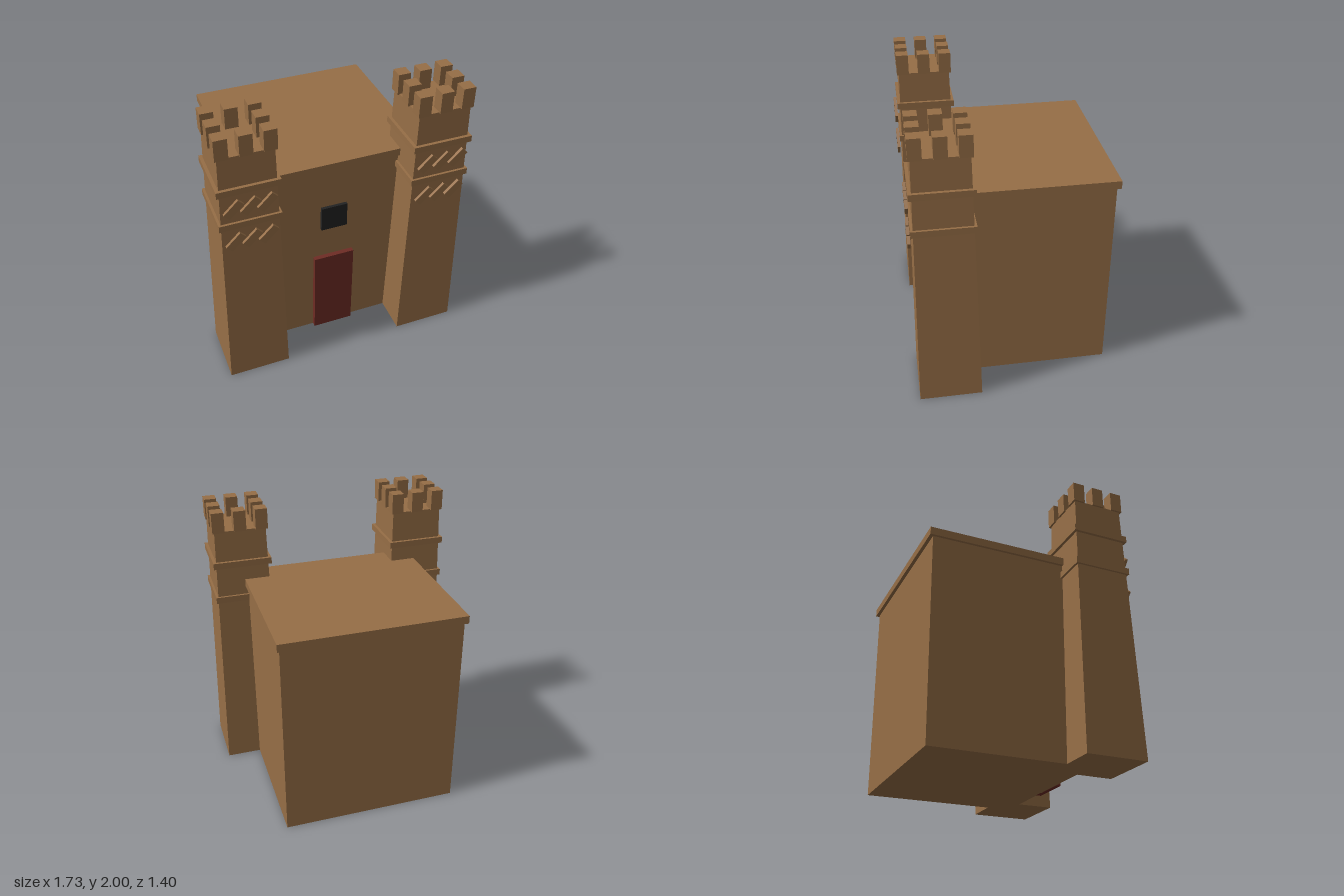
import * as THREE from 'three';

const material = (name, color) => {
  const m = new THREE.MeshStandardMaterial({ color });
  m.name = name;
  return m;
};

export function createModel() {
  const sandstone = material('sandstone', 0x966e46);
  const doorRed = material('doorRed', 0x6e2c24);
  const windowDark = material('windowDark', 0x222222);

  const model = new THREE.Group();
  model.name = 'gatehouse';

  const box = (parent, name, mat, size, position) => {
    const mesh = new THREE.Mesh(new THREE.BoxGeometry(...size), mat);
    mesh.name = name;
    mesh.position.set(...position);
    parent.add(mesh);
    return mesh;
  };

  // Main hall with a slightly overhanging roof slab
  box(model, 'hallWalls', sandstone, [1.24, 1.44, 1.105], [0, 0.72, -0.122]);
  box(model, 'roofSlab', sandstone, [1.278, 0.055, 1.153], [0, 1.463, -0.122]);
  box(model, 'door', doorRed, [0.294, 0.684, 0.04], [0, 0.342, 0.444]);
  box(model, 'window', windowDark, [0.187, 0.187, 0.03], [0, 1.029, 0.437]);

  // Square tapering tower: shaft, bands, slanted bars and merlons
  const addTower = (name, x) => {
    const tower = new THREE.Group();
    tower.name = name;
    tower.position.set(x, 0, 0.473);
    model.add(tower);

    const shaftGeometry = new THREE.CylinderGeometry(
      0.179 * Math.SQRT2, 0.216 * Math.SQRT2, 1.86, 4, 1).toNonIndexed();
    shaftGeometry.rotateY(Math.PI / 4);
    shaftGeometry.computeVertexNormals();
    const shaft = new THREE.Mesh(shaftGeometry, sandstone);
    shaft.name = 'towerShaft';
    shaft.position.y = 0.93;
    tower.add(shaft);

    for (const y of [1.358, 1.619]) {
      box(tower, 'towerBand', sandstone, [0.41, 0.045, 0.41], [0, y, 0]);
    }

    // Slanted bars stand just clear of the front face
    for (const y of [1.246, 1.504]) {
      for (const i of [-1, 0, 1]) {
        const bar = box(tower, 'slantedBar', sandstone, [0.134, 0.054, 0.02], [i * 0.108, y, 0.216]);
        bar.rotation.z = Math.PI / 4;
      }
    }

    // Merlons ring the top, leaving the middle open
    for (const i of [-1, 0, 1]) {
      for (const j of [-1, 0, 1]) {
        if (i === 0 && j === 0) continue;
        box(tower, 'merlon', sandstone, [0.085, 0.145, 0.085], [i * 0.15, 1.9275, j * 0.15]);
      }
    }
  };
  addTower('leftTower', 0.65);
  addTower('rightTower', -0.65);

  return model;
}
